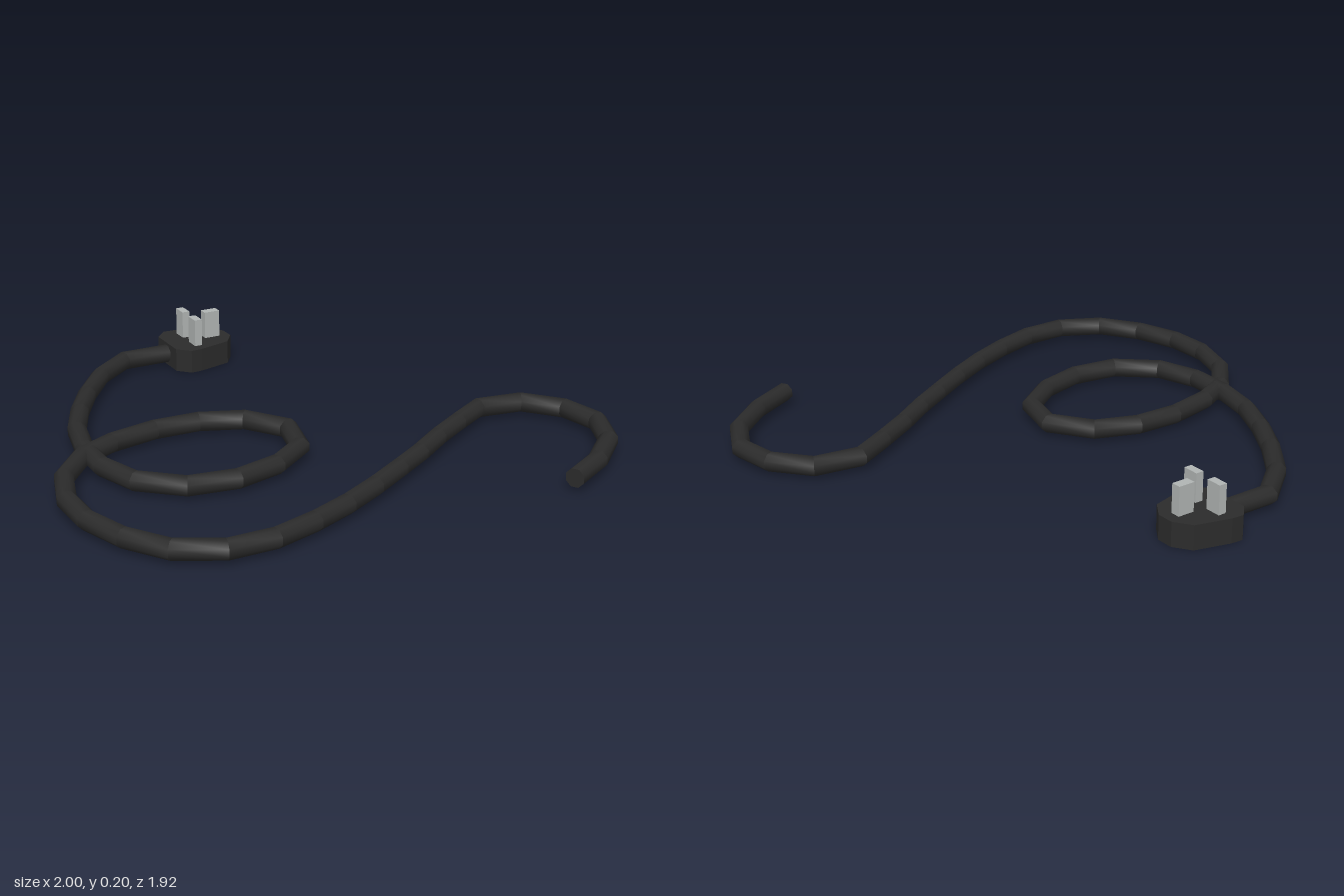
import * as THREE from 'three';

const SIDES = 8, RADIUS = 0.035, CABLE_Y = 0.047, PLUG_Z = -0.828;

// Cable centre line on the floor plane: [x, z]
const PATH = [
  [-0.08, -0.83], [-0.28, -0.83], [-0.43, -0.71], [-0.55, -0.55], [-0.64, -0.4], [-0.715, -0.24],
  [-0.755, -0.07], [-0.76, 0.1], [-0.71, 0.26], [-0.575, 0.38], [-0.4, 0.405], [-0.23, 0.36],
  [-0.09, 0.26], [-0.045, 0.09], [-0.145, -0.055], [-0.3, -0.115], [-0.47, -0.12], [-0.65, -0.08],
  [-0.79, -0.01], [-0.91, 0.13], [-0.967, 0.3], [-0.967, 0.47], [-0.915, 0.64], [-0.82, 0.785],
  [-0.67, 0.865], [-0.5, 0.865], [-0.335, 0.815], [-0.18, 0.75], [-0.03, 0.67], [0.12, 0.58],
  [0.25, 0.5], [0.38, 0.41], [0.52, 0.325], [0.66, 0.245], [0.83, 0.27], [0.935, 0.395],
  [0.963, 0.555], [0.89, 0.715], [0.75, 0.84], [0.585, 0.93],
].map(([x, z]) => new THREE.Vector2(x, z));

// Mitred octagonal tube: smooth around, creased at every joint
function cableGeometry(path) {
  const dirs = path.slice(1).map((p, i) => p.clone().sub(path[i]).normalize());
  const rings = path.map((p, i) => {
    const a = dirs[Math.max(i - 1, 0)], b = dirs[Math.min(i, dirs.length - 1)];
    const t = a.clone().add(b).normalize();
    const mitre = 1 / t.dot(b);
    return Array.from({ length: SIDES }, (_, k) => {
      const angle = ((k + 0.5) / SIDES) * Math.PI * 2;
      const w = Math.cos(angle) * RADIUS * mitre;
      return [p.x - t.y * w, CABLE_Y + Math.sin(angle) * RADIUS, p.y + t.x * w];
    });
  });
  const positions = [], index = [];
  for (let i = 0; i < dirs.length; i++) {
    const base = positions.length / 3;
    positions.push(...rings[i].flat(), ...rings[i + 1].flat());
    for (let k = 0; k < SIDES; k++) {
      const a = base + k, b = base + ((k + 1) % SIDES);
      index.push(a, a + SIDES, b, b, a + SIDES, b + SIDES);
    }
  }
  // Flat cap on the free end
  const cap = positions.length / 3;
  positions.push(...rings[rings.length - 1].flat());
  for (let k = 1; k < SIDES - 1; k++) index.push(cap, cap + k + 1, cap + k);

  const geometry = new THREE.BufferGeometry();
  geometry.setAttribute('position', new THREE.Float32BufferAttribute(positions, 3));
  geometry.setIndex(index);
  geometry.computeVertexNormals();
  return geometry;
}

export function createModel() {
  const model = new THREE.Group();
  model.name = 'powerCable';
  const rubber = new THREE.MeshStandardMaterial({ name: 'blackRubber', color: 0x2b2b2b });
  const metal = new THREE.MeshStandardMaterial({ name: 'greyMetal', color: 0xb0b4b3 });

  const add = (parent, name, geometry, material) => {
    const mesh = new THREE.Mesh(geometry, material);
    mesh.name = name;
    parent.add(mesh);
    return mesh;
  };

  add(model, 'cable', cableGeometry(PATH), rubber);

  // Plug lying on its back, pins pointing up
  const plug = new THREE.Group();
  plug.name = 'plug';
  plug.position.z = PLUG_Z;
  model.add(plug);

  const half = [[-0.095, 0.085], [-0.05, 0.132], [-0.005, 0.129], [0.125, 0.094], [0.168, 0.032]];
  const outline = [...half.map(([x, y]) => [x, -y]), ...half.slice().reverse()];
  const shape = new THREE.Shape(outline.map(([x, y]) => new THREE.Vector2(x, y)));
  const body = new THREE.ExtrudeGeometry(shape, { depth: 0.09, bevelEnabled: false });
  body.rotateX(-Math.PI / 2);
  add(plug, 'plugBody', body, rubber);

  // Pins: [name, x, z, width, depth]
  for (const [name, x, z, w, d] of [
    ['earthPin', 0.095, 0, 0.063, 0.036],
    ['leftPin', 0.002, -0.057, 0.03, 0.06],
    ['rightPin', 0.002, 0.057, 0.03, 0.06],
  ]) {
    add(plug, name, new THREE.BoxGeometry(w, 0.115, d), metal).position.set(x, 0.1385, z);
  }
  return model;
}
